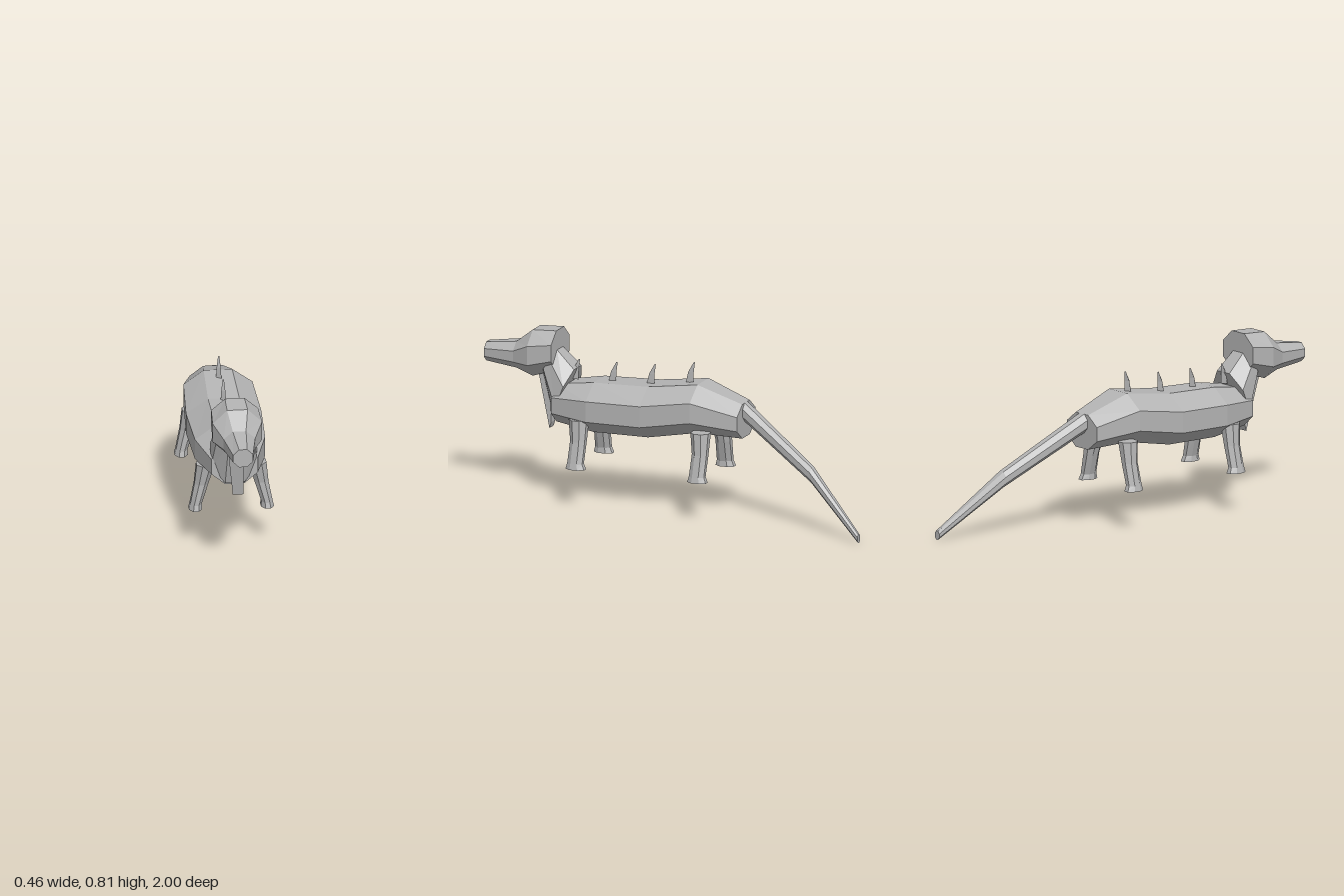
import * as THREE from 'three';

const stone = new THREE.MeshStandardMaterial({ color: 0xb4b4b4, flatShading: true });
stone.name = 'plain grey';

// Closed loft. Each section: [x, y, z, halfWidth, vy, vz], where (0, vy, vz)
// is the half height vector; sections run along the direction x cross v.
function loft(name, sections, sides = 8) {
  const grow = 1 / Math.cos(Math.PI / sides);
  const rings = sections.map(([x, y, z, w, vy, vz]) =>
    Array.from({ length: sides }, (_, i) => {
      const a = ((i + 0.5) / sides) * Math.PI * 2;
      const c = Math.cos(a) * grow, s = Math.sin(a) * grow;
      return new THREE.Vector3(x + w * c, y + vy * s, z + vz * s);
    }));
  const points = [];
  for (let r = 0; r < rings.length - 1; r++) {
    for (let i = 0; i < sides; i++) {
      const j = (i + 1) % sides, a = rings[r], b = rings[r + 1];
      points.push(a[i], a[j], b[j], a[i], b[j], b[i]);
    }
  }
  const first = rings[0], last = rings[rings.length - 1];
  for (let i = 1; i < sides - 1; i++) {
    points.push(first[0], first[i + 1], first[i], last[0], last[i], last[i + 1]);
  }
  const geometry = new THREE.BufferGeometry().setFromPoints(points);
  geometry.computeVertexNormals();
  const mesh = new THREE.Mesh(geometry, stone);
  mesh.name = name;
  return mesh;
}

export function createModel() {
  const model = new THREE.Group();
  model.name = 'lizard';
  const animal = new THREE.Group();
  animal.name = 'animal';
  animal.position.x = -0.032;
  model.add(animal);

  animal.add(loft('body', [
    [0, 0.473, -0.32, 0.11, 0.083, 0],
    [0, 0.517, -0.10, 0.163, 0.117, 0],
    [0, 0.477, 0.15, 0.178, 0.123, 0],
    [0, 0.47, 0.43, 0.166, 0.12, 0],
    [0, 0.467, 0.63, 0.11, 0.092, 0],
  ]));

  // Tail sweeps down and to the left
  animal.add(loft('tail', [
    [0.245, 0.024, -1.0, 0.017, 0.021, 0],
    [0.12, 0.275, -0.71, 0.034, 0.037, 0],
    [0, 0.512, -0.32, 0.042, 0.045, 0],
  ]));

  animal.add(loft('neck', [
    [0, 0.51, 0.59, 0.11, 0.125, -0.05],
    [0, 0.66, 0.665, 0.088, 0.06, -0.035],
  ]));

  animal.add(loft('head', [
    [0, 0.72, 0.63, 0.111, 0.095, 0],
    [0, 0.697, 0.75, 0.117, 0.112, 0],
    [0, 0.675, 0.84, 0.075, 0.064, 0],
    [0, 0.672, 1.0, 0.047, 0.045, 0],
  ]));

  // Hanging throat flap
  animal.add(loft('throatFlap', [
    [0.012, 0.35, 0.665, 0.025, 0.014, -0.004],
    [-0.002, 0.61, 0.695, 0.04, 0.012, -0.028],
  ], 4));

  // Legs splay outwards and end in small flared feet
  for (const [label, z] of [['front', 0.48], ['back', -0.142]]) {
    for (const side of [1, -1]) {
      animal.add(loft(label + (side > 0 ? 'LeftLeg' : 'RightLeg'), [
        [side * 0.170, 0.19, z - 0.002, 0.031, 0, -0.047],
        [side * 0.168, 0.217, z, 0.027, 0, -0.038],
        [side * 0.142, 0.32, z - 0.004, 0.033, 0, -0.037],
        [side * 0.122, 0.42, z + 0.002, 0.043, 0, -0.045],
      ]));
    }
  }

  // Row of back spikes, tips leaning rearwards
  for (const [y, z] of [[0.58, 0.552], [0.585, 0.36], [0.595, 0.165], [0.625, -0.035]]) {
    animal.add(loft('backSpike', [
      [0, y, z, 0.008, 0, -0.011],
      [0, y + 0.05, z - 0.006, 0.006, 0, -0.008],
      [0, y + 0.097, z - 0.021, 0.002, 0, -0.002],
    ], 3));
  }
  return model;
}
